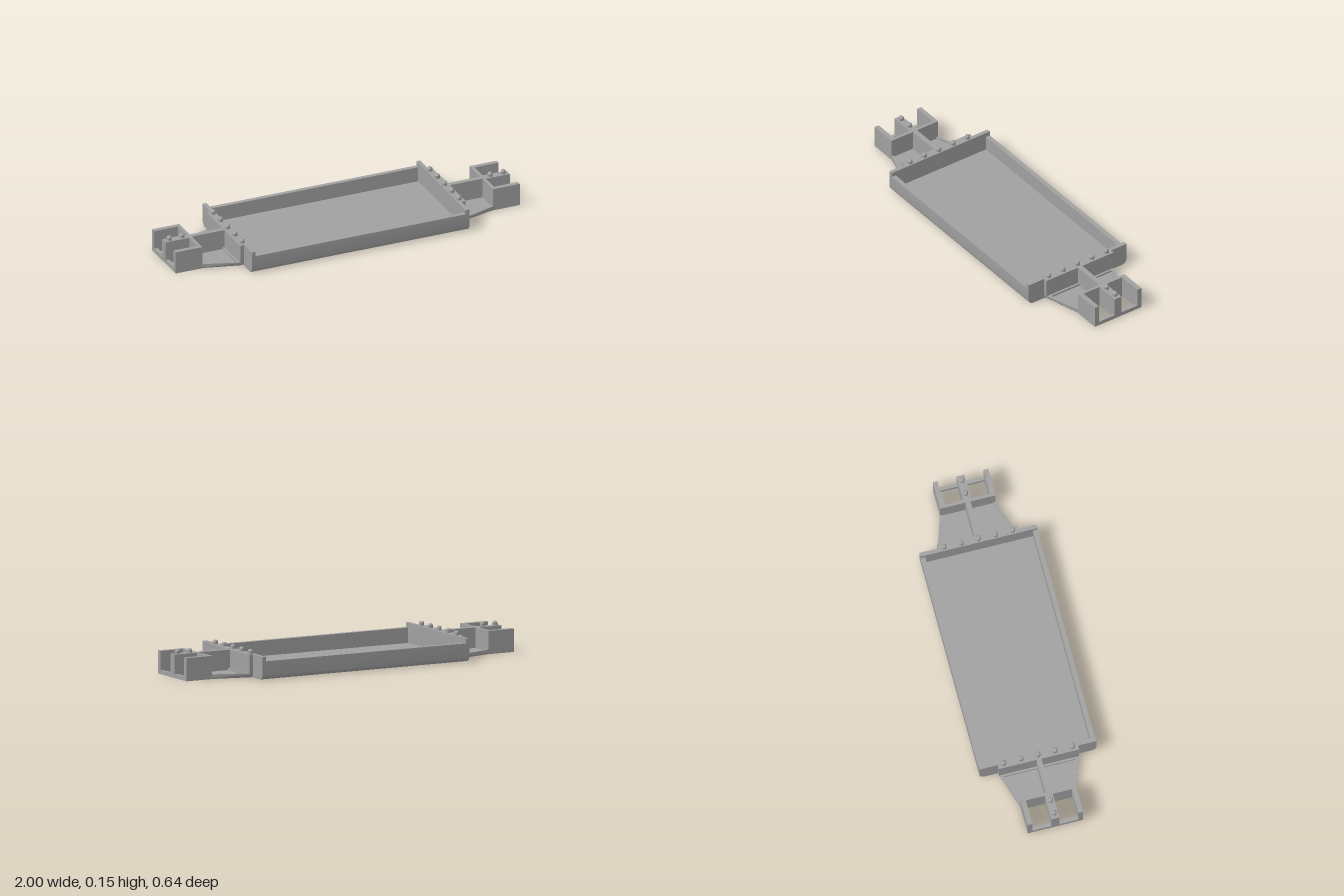
import * as THREE from 'three';
import { toCreasedNormals } from 'three/addons/utils/BufferGeometryUtils.js';

const grey = new THREE.MeshStandardMaterial({ color: 0xa0a0a0 });
grey.name = 'grey plastic';

function part(name, geometry, parent) {
  const mesh = new THREE.Mesh(geometry, grey);
  mesh.name = name;
  parent.add(mesh);
  return mesh;
}

// Box given by its limits on each axis
function box(name, parent, x0, x1, y0, y1, z0, z1) {
  const mesh = part(name, new THREE.BoxGeometry(x1 - x0, y1 - y0, z1 - z0), parent);
  mesh.position.set((x0 + x1) / 2, (y0 + y1) / 2, (z0 + z1) / 2);
  return mesh;
}

// Half profile from bottom centre out around a rounded lower corner
function corner(w, r, steps = 8) {
  const points = [];
  for (let i = 0; i <= steps; i++) {
    const a = (i / steps) * Math.PI / 2;
    points.push([w - r + r * Math.sin(a), r - r * Math.cos(a)]);
  }
  return points;
}

const mirrored = (half) => [...half, ...half.map(([z, y]) => [-z, y]).reverse()];

// Extrude a symmetric cross-section (z, y) from x0 to x1
function extrudeX(half, x0, x1) {
  const shape = new THREE.Shape(mirrored(half).map(([z, y]) => new THREE.Vector2(z, y)));
  const geometry = new THREE.ExtrudeGeometry(shape, { depth: x1 - x0, bevelEnabled: false });
  geometry.rotateY(Math.PI / 2).translate(x0, 0, 0);
  return toCreasedNormals(geometry, 0.5);
}

// Skin between two closed cross-sections
function loft(a, xa, b, xb) {
  const positions = [];
  for (let i = 0; i < a.length; i++) {
    const j = (i + 1) % a.length;
    const [p, q, r, s] = [[xa, a[i]], [xb, b[i]], [xb, b[j]], [xa, a[j]]]
      .map(([x, [z, y]]) => [x, y, z]);
    positions.push(...p, ...q, ...r, ...p, ...r, ...s);
  }
  const geometry = new THREE.BufferGeometry();
  geometry.setAttribute('position', new THREE.Float32BufferAttribute(positions, 3));
  return toCreasedNormals(geometry, 0.5);
}

// Round peg with a chamfered top
const pegGeometry = toCreasedNormals(new THREE.LatheGeometry(
  [[0.014, 0], [0.014, 0.016], [0.009, 0.023], [0, 0.023]].map(([x, y]) => new THREE.Vector2(x, y)), 20), 0.5);

function peg(parent, x, z) {
  part('peg', pegGeometry, parent).position.set(x, 0.125, z);
}

// Taper section: rounded underside, low rim and sunken floor
const taperSection = (w, r) =>
  mirrored([...corner(w, r), [w, 0.025], [w - 0.015, 0.025], [w - 0.015, 0.015]]);

function createEnd() {
  const end = new THREE.Group();
  end.name = 'endAssembly';

  // Tray end wall and the thicker block that carries the pegs
  part('endWall', extrudeX([...corner(0.32, 0.03), [0.32, 0.125]], 0.61, 0.632), end);
  part('pegBlock', extrudeX([...corner(0.22, 0.025), [0.22, 0.125]], 0.615, 0.655), end);
  for (let i = -2; i <= 2; i++) peg(end, 0.63, i * 0.094);

  // Tapered plate and its upright spine
  part('taperedPlate', loft(taperSection(0.222, 0.024), 0.64, taperSection(0.15, 0.004), 0.855), end);
  box('taperRimInner', end, 0.65, 0.667, 0.01, 0.025, -0.2, 0.2);
  box('taperSpine', end, 0.65, 0.85, 0.005, 0.125, -0.014, 0.014);

  // Open coupling frame: base with two windows
  const base = new THREE.Shape();
  base.moveTo(0.845, -0.152).lineTo(1, -0.152).lineTo(1, 0.152).lineTo(0.845, 0.152).closePath();
  for (const side of [-1, 1]) {
    const hole = new THREE.Path();
    hole.moveTo(0.862, side * 0.022).lineTo(0.98, side * 0.022)
      .lineTo(0.98, side * 0.126).lineTo(0.862, side * 0.126).closePath();
    base.holes.push(hole);
  }
  const baseGeometry = new THREE.ExtrudeGeometry(base, { depth: 0.021, bevelEnabled: false });
  baseGeometry.rotateX(-Math.PI / 2);
  part('frameBase', baseGeometry, end);

  // Frame uprights
  box('crossWall', end, 0.845, 0.862, 0.01, 0.125, -0.152, 0.152);
  box('frameSpine', end, 0.855, 1, 0.01, 0.125, -0.022, 0.022);
  box('frameSideLeft', end, 0.85, 1, 0.01, 0.125, 0.126, 0.152);
  box('frameSideRight', end, 0.85, 1, 0.01, 0.125, -0.152, -0.126);
  for (const x of [0.895, 0.97]) peg(end, x, 0);
  return end;
}

export function createModel() {
  const model = new THREE.Group();
  model.name = 'flatTray';

  // Long tray with rounded lower edges
  part('tray', extrudeX([...corner(0.32, 0.03), [0.32, 0.1], [0.295, 0.1], [0.295, 0.018]], -0.615, 0.615), model);

  // Matching assembly at both ends
  const left = createEnd();
  const right = createEnd();
  right.rotation.y = Math.PI;
  model.add(left, right);
  return model;
}
